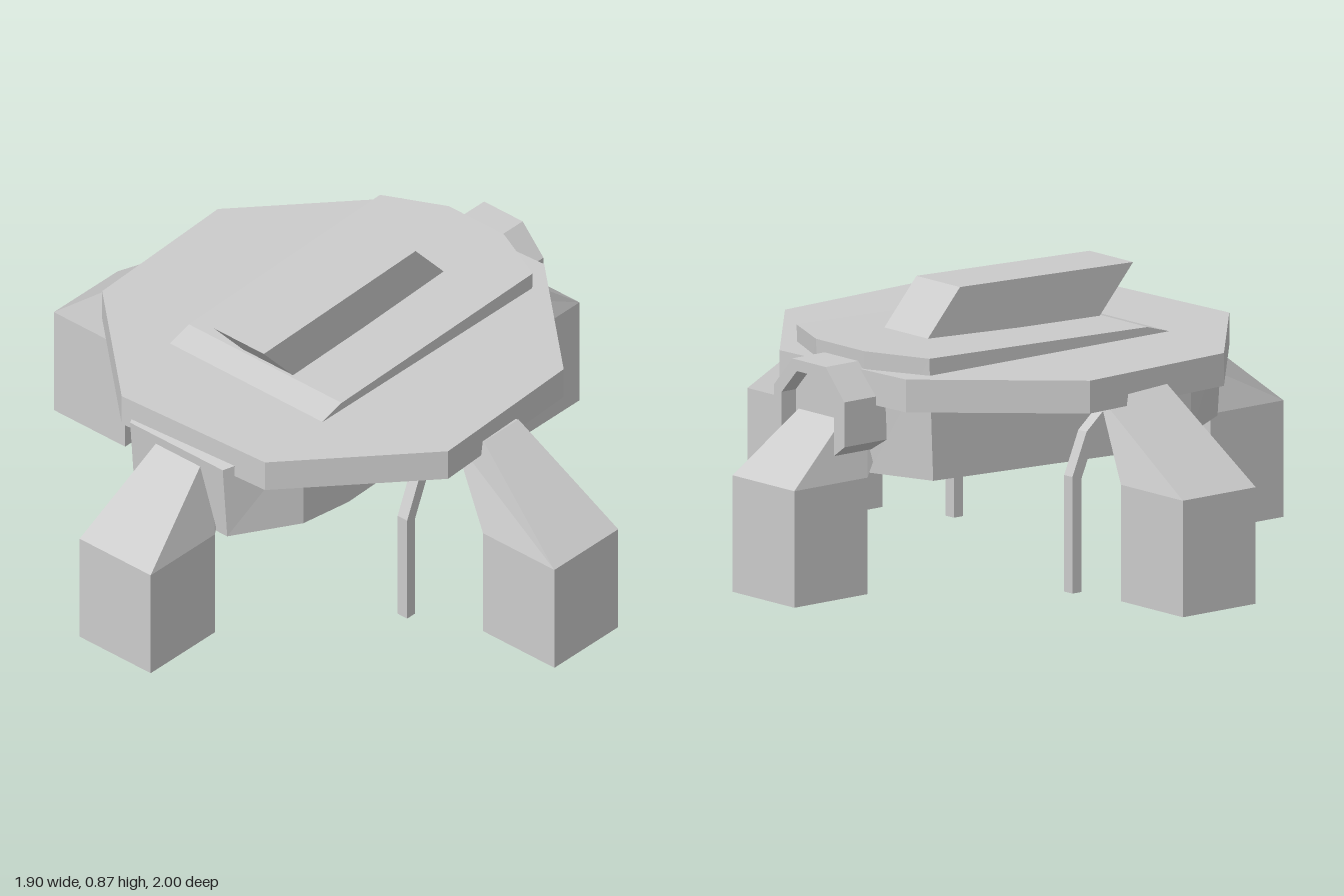
import * as THREE from 'three';

const material = new THREE.MeshStandardMaterial({ color: 0xcccccc, flatShading: true });

function addMesh(parent, name, geometry) {
  const mesh = new THREE.Mesh(geometry, material);
  mesh.name = name;
  parent.add(mesh);
  return mesh;
}

// Closed solid through a row of rings with equal point counts, faceted, facing outward
function loft(rings) {
  const tris = [];
  const n = rings[0].length;
  for (let i = 0; i < rings.length - 1; i++) {
    for (let j = 0; j < n; j++) {
      const k = (j + 1) % n;
      const a = rings[i][j], b = rings[i][k], c = rings[i + 1][k], d = rings[i + 1][j];
      tris.push([a, b, c], [a, c, d]);
    }
  }
  const first = rings[0], last = rings[rings.length - 1];
  for (let j = 1; j < n - 1; j++) {
    tris.push([first[0], first[j + 1], first[j]], [last[0], last[j], last[j + 1]]);
  }
  let volume = 0;
  for (const [a, b, c] of tris) {
    const [u, v, w] = [a, b, c].map((p) => new THREE.Vector3(...p));
    volume += u.dot(v.cross(w));
  }
  if (volume < 0) tris.forEach((t) => t.reverse());
  const geometry = new THREE.BufferGeometry();
  geometry.setAttribute('position', new THREE.Float32BufferAttribute(tris.flat(2), 3));
  geometry.computeVertexNormals();
  return geometry;
}

// Extrude a (z, y) outline along x from x0 to x1
function extrudeAlongX(outline, x0, x1) {
  const shape = new THREE.Shape(outline.map(([z, y]) => new THREE.Vector2(-z, y)));
  const geometry = new THREE.ExtrudeGeometry(shape, { depth: x1 - x0, bevelEnabled: false });
  return geometry.rotateY(Math.PI / 2).translate(x0, 0, 0);
}

// Eight-sided plate, turned slightly off square
function buildDeck(model) {
  const ring = (y) => Array.from({ length: 8 }, (_, i) => {
    const a = (i / 8) * Math.PI * 2 + 0.34;
    return [0.01 + 0.715 * Math.cos(a), y, -0.01 + 0.715 * Math.sin(a)];
  });
  addMesh(model, 'deck', loft([ring(0.58), ring(0.68)]));
}

// Long hull with chamfered ends, rising through the deck
function buildHull(model) {
  // bottom x, bottom y, top x, top y, half width
  const stations = [
    [-0.655, 0.36, -0.675, 0.61, 0.185],
    [-0.45, 0.357, -0.45, 0.655, 0.305],
    [-0.25, 0.33, -0.28, 0.705, 0.305],
    [0.555, 0.358, 0.57, 0.732, 0.305],
    [0.64, 0.362, 0.66, 0.735, 0.11],
  ];
  addMesh(model, 'hull', loft(stations.map(([xb, yb, xt, yt, w]) => [
    [xb, yb, -0.02 - w], [xb, yb, -0.02 + w], [xt, yt, -0.02 + w], [xt, yt, -0.02 - w],
  ])));
}

// Slanted block on top
function buildTopBlock(model) {
  const side = (z) => [[-0.4, 0.85, z], [0.275, 0.872, z], [0.4, 0.733, z], [-0.265, 0.7, z]];
  addMesh(model, 'topBlock', loft([side(-0.118), side(0.082)]));
}

// Heavy leg: square foot with a tapering shoulder leaning inward under the deck
function buildLegs(model) {
  const ring = (w, inner, yInner, outer, yOuter) => [
    [-w, yInner, inner], [w, yInner, inner], [w, yOuter, outer], [-w, yOuter, outer],
  ];
  const geometry = loft([
    ring(0.142, 0.715, 0, 1, 0),
    ring(0.142, 0.715, 0.355, 1, 0.355),
    ring(0.077, 0.54, 0.585, 0.66, 0.628),
  ]);
  const places = [
    ['frontLeg', 0, 0.0125, 0],
    ['leftLeg', 1, -0.048, -0.013],
    ['backLeg', 2, 0.0125, 0],
    ['rightLeg', 3, 0.048, -0.016],
  ];
  for (const [name, turns, x, z] of places) {
    const leg = addMesh(model, name, geometry);
    leg.rotation.y = (turns * Math.PI) / 2;
    leg.position.set(x, 0, z);
  }
}

// Thin arched struts on both sides, each hung from a bar out of the hull
function buildStruts(model) {
  const half = [[0.215, 0, 0.18, 0], [0.215, 0.355, 0.18, 0.345], [0.16, 0.485, 0.13, 0.46], [0.065, 0.565, 0.05, 0.53]];
  const path = [...half, ...half.map(([a, b, c, d]) => [-a, b, -c, d]).reverse()];
  const arch = loft(path.map(([xo, yo, xi, yi]) => [
    [xo, yo, -0.019], [xo, yo, 0.019], [xi, yi, 0.019], [xi, yi, -0.019],
  ]));
  for (const s of [1, -1]) {
    const strut = new THREE.Group();
    strut.name = s > 0 ? 'frontStrut' : 'backStrut';
    strut.position.set(-0.017, 0, -0.02 + s * 0.505);
    addMesh(strut, 'strutArch', arch);
    addMesh(strut, 'strutMount', new THREE.BoxGeometry(0.13, 0.05, 0.12)).position.set(0, 0.532, 0);
    addMesh(strut, 'strutBar', new THREE.BoxGeometry(0.07, 0.025, 0.2)).position.set(0, 0.542, -s * 0.13);
    model.add(strut);
  }
}

// Faceted hood over the shoulder at the +x end, with a recessed panel
function buildHood(model) {
  const outer = [[0.135, 0.47], [0.135, 0.607], [0.052, 0.7], [-0.102, 0.7], [-0.188, 0.607], [-0.188, 0.47]];
  const inner = [[-0.14, 0.435], [-0.14, 0.59], [-0.08, 0.665], [0.03, 0.665], [0.1, 0.59], [0.1, 0.435]];
  addMesh(model, 'hood', extrudeAlongX([...outer, ...inner], 0.62, 0.785));
  addMesh(model, 'hoodPanel', extrudeAlongX(inner, 0.62, 0.73));
}

export function createModel() {
  const model = new THREE.Group();
  model.name = 'walker';
  buildDeck(model);
  buildHull(model);
  buildTopBlock(model);
  buildLegs(model);
  buildStruts(model);
  buildHood(model);
  return model;
}
